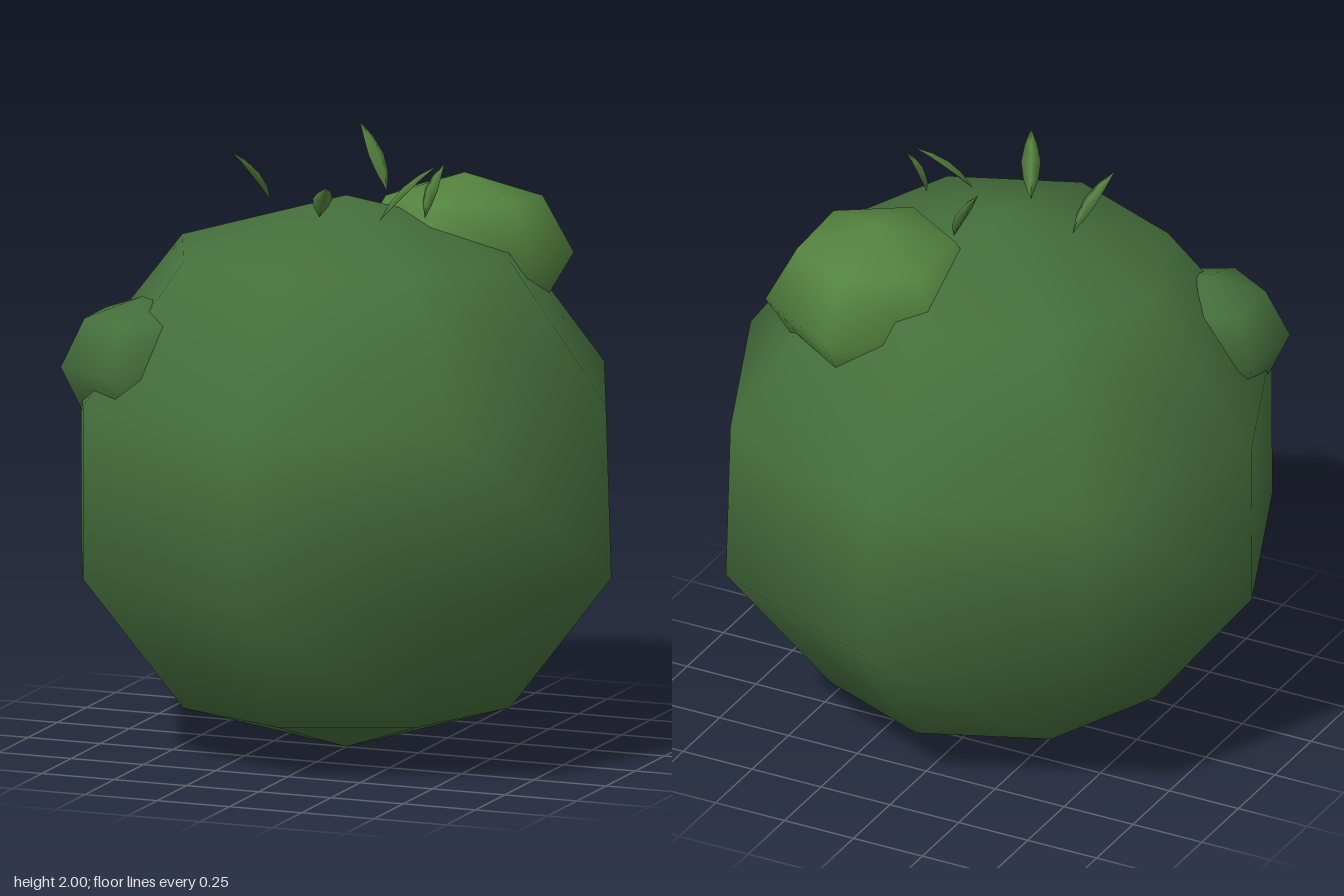
import * as THREE from 'three';

const green = (color) => new THREE.MeshStandardMaterial({ color, side: THREE.DoubleSide });
const bodyMat = green(0x456f3c);
const mossMat = green(0x54833f);
const leafMat = green(0x55803f);

// Round low-poly body, its upper belt slightly off centre
function makeBody() {
  const geo = new THREE.SphereGeometry(1, 8, 5);
  const p = geo.attributes.position;
  for (let i = 0; i < p.count; i++) {
    const y = p.getY(i);
    if (y > 0.2 && y < 0.4) {
      p.setX(i, p.getX(i) * 0.99 - 0.02);
      p.setZ(i, p.getZ(i) * 0.99 - 0.025);
    }
  }
  geo.scale(0.965, 0.905, 0.965);
  const mesh = new THREE.Mesh(geo, bodyMat);
  mesh.position.y = 0.905;
  mesh.name = 'body';
  return mesh;
}

// Six-sided squashed lump half sunk into the body
function makeLump(name, [x, y, z], radius, height, tilt, material) {
  const geo = new THREE.SphereGeometry(1, 6, 4);
  geo.rotateY(Math.PI / 2);
  geo.scale(radius, height, radius);
  const mesh = new THREE.Mesh(geo, material);
  mesh.position.set(x, y, z);
  mesh.rotation.x = tilt;
  mesh.name = name;
  return mesh;
}

// Pointed blade from base to tip, wide across its lean and bowed upward
function makeBlade(base, tip) {
  const a = new THREE.Vector3(...base);
  const b = new THREE.Vector3(...tip);
  const dir = b.clone().sub(a);
  const length = dir.length();
  dir.normalize();
  const across = new THREE.Vector3(0, 1, 0).cross(dir).normalize();
  const normal = across.clone().cross(dir).normalize();

  const profile = [[0, 0], [0.75, 0.25], [1, 0.5], [0.65, 0.75], [0, 1]]
    .map(([r, h]) => new THREE.Vector2(r, h));
  const geo = new THREE.LatheGeometry(profile, 4);
  geo.scale(0.032, length, 0.012);
  const p = geo.attributes.position;
  const bow = normal.y > 0 ? 0.015 : -0.015;
  for (let i = 0; i < p.count; i++) {
    const t = p.getY(i) / length;
    p.setZ(i, p.getZ(i) + bow * 4 * t * (1 - t));
  }
  geo.applyMatrix4(new THREE.Matrix4().makeBasis(across, dir, normal).setPosition(a));
  return new THREE.Mesh(geo, leafMat);
}

export function createModel() {
  const model = new THREE.Group();
  model.name = 'mossyBush';
  model.add(makeBody());
  model.add(makeLump('topLump', [0.28, 1.585, -0.305], 0.36, 0.26, -0.06, mossMat));
  model.add(makeLump('sideLump', [-0.54, 1.29, 0.41], 0.265, 0.225, 0, bodyMat));

  // Tuft of blades around the crown: base, tip
  const tuft = new THREE.Group();
  tuft.name = 'leafTuft';
  [
    [[-0.25, 1.78, 0.03], [-0.33, 1.96, 0.17]],
    [[0.07, 1.79, -0.18], [-0.05, 2.0, -0.24]],
    [[-0.02, 1.77, 0.18], [0.08, 1.91, 0.37]],
    [[0.18, 1.77, 0.16], [0.33, 1.94, 0.04]],
    [[0.3, 1.77, 0.07], [0.34, 1.94, 0.0]],
  ].forEach(([base, tip], i) => {
    const blade = makeBlade(base, tip);
    blade.name = `leaf${i + 1}`;
    tuft.add(blade);
  });
  model.add(tuft);
  return model;
}
